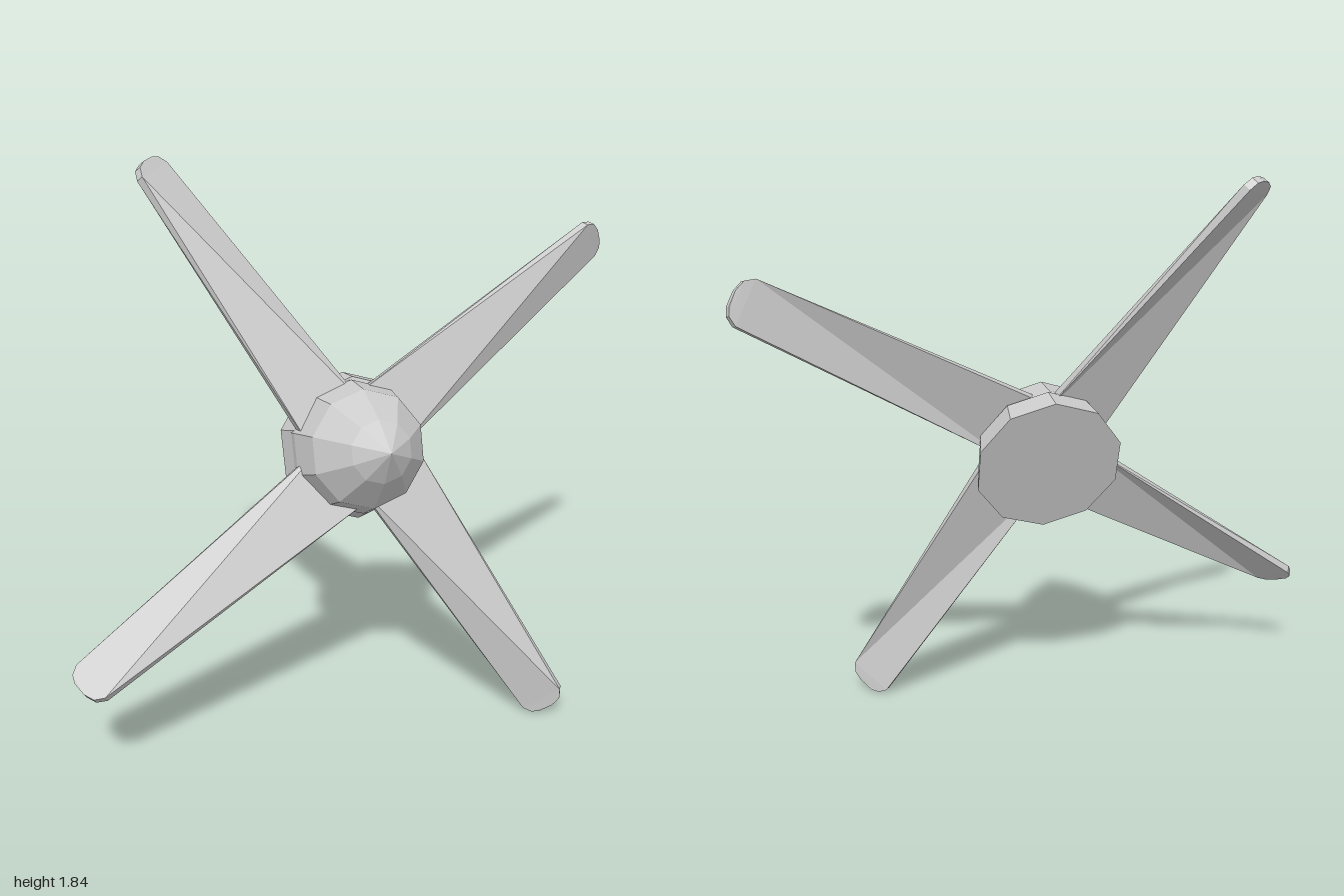
import * as THREE from 'three';

const material = new THREE.MeshStandardMaterial({ color: 0xcccccc, flatShading: true });
const V = (x, y, z) => new THREE.Vector3(x, y, z);

// Propeller centre, the two blade pair directions and the shaft axis
const CENTRE = V(0, 0.935, 0);
const PAIR_A = V(-0.56, 0.9, -0.355);
const PAIR_B = V(0.97, 0.6, -0.16);
const SHAFT = PAIR_B.clone().cross(PAIR_A).normalize();

// Twisted blade from four-cornered sections: width along x, length along y, thickness along z
function bladeGeometry(length) {
  // [distance, left x, left z, right x, right z, thickness]
  const sections = [
    [0.1, -0.143, 0.066, 0.088, 0.052, 0.032],
    [length * 0.968, -0.06, 0.05, 0.058, -0.043, 0.026],
    [length * 0.993, -0.044, 0.036, 0.044, -0.033, 0.025],
    [length * 1.003, -0.016, 0.014, 0.022, -0.018, 0.024],
  ];
  const position = [];
  const index = [];
  for (const [d, lx, lz, rx, rz, thick] of sections) {
    // offset the faces square to the chord
    const chord = Math.hypot(rx - lx, rz - lz);
    const ox = ((lz - rz) / chord) * thick / 2;
    const oz = ((rx - lx) / chord) * thick / 2;
    position.push(lx + ox, d, lz + oz, rx + ox, d, rz + oz);
    position.push(rx - ox, d, rz - oz, lx - ox, d, lz - oz);
  }
  for (let i = 0; i < sections.length - 1; i++) {
    for (let k = 0; k < 4; k++) {
      const a = i * 4 + k, b = i * 4 + ((k + 1) % 4), c = a + 4, e = b + 4;
      // both broad faces fold along the same diagonal
      if (k === 2) index.push(a, b, e, a, e, c);
      else index.push(a, b, c, b, e, c);
    }
  }
  const t = (sections.length - 1) * 4;
  index.push(t, t + 1, t + 2, t, t + 2, t + 3);
  index.push(0, 2, 1, 0, 3, 2);
  const geometry = new THREE.BufferGeometry();
  geometry.setAttribute('position', new THREE.Float32BufferAttribute(position, 3));
  geometry.setIndex(index);
  geometry.computeVertexNormals();
  return geometry;
}

// Turns a mesh so its y runs along an axis, with its x kept level
function alignAxis(mesh, axis, at) {
  const right = V(0, 1, 0).cross(axis).normalize();
  const basis = new THREE.Matrix4().makeBasis(right, axis, right.clone().cross(axis));
  mesh.quaternion.setFromRotationMatrix(basis);
  mesh.position.copy(at);
  return mesh;
}

export function createModel() {
  const model = new THREE.Group();
  model.name = 'propeller';

  // Four blades in two opposite pairs
  const blades = new THREE.Group();
  blades.name = 'blades';
  for (const pair of [PAIR_A, PAIR_B]) {
    const geometry = bladeGeometry(pair.length());
    for (const sign of [1, -1]) {
      const out = pair.clone().normalize().multiplyScalar(sign);
      const across = out.clone().cross(SHAFT);
      const blade = new THREE.Mesh(geometry, material);
      blade.name = 'blade';
      blade.quaternion.setFromRotationMatrix(new THREE.Matrix4().makeBasis(across, out, SHAFT));
      blade.position.copy(CENTRE);
      blades.add(blade);
    }
  }
  model.add(blades);

  // Back plate: short tapered ten-sided drum
  const plateBack = V(0.005, 0.92, -0.06);
  const plate = new THREE.Mesh(new THREE.CylinderGeometry(0.222, 0.243, 0.1, 10), material);
  plate.name = 'backPlate';
  model.add(alignAxis(plate, SHAFT, plateBack.clone().addScaledVector(SHAFT, 0.05)));

  // Spinner: pointed ten-sided nose, tipped slightly from the shaft
  const nose = V(-0.055, 0.265, 0.96).normalize();
  const profile = [
    [0, -0.38], [0.215, -0.38], [0.218, -0.32], [0.19, -0.208], [0.1, -0.088], [0, 0],
  ].map(([r, h]) => new THREE.Vector2(r, h));
  const spinner = new THREE.Mesh(new THREE.LatheGeometry(profile, 10), material);
  spinner.name = 'spinner';
  model.add(alignAxis(spinner, nose, V(-0.03, 1.035, 0.35)));

  return model;
}
